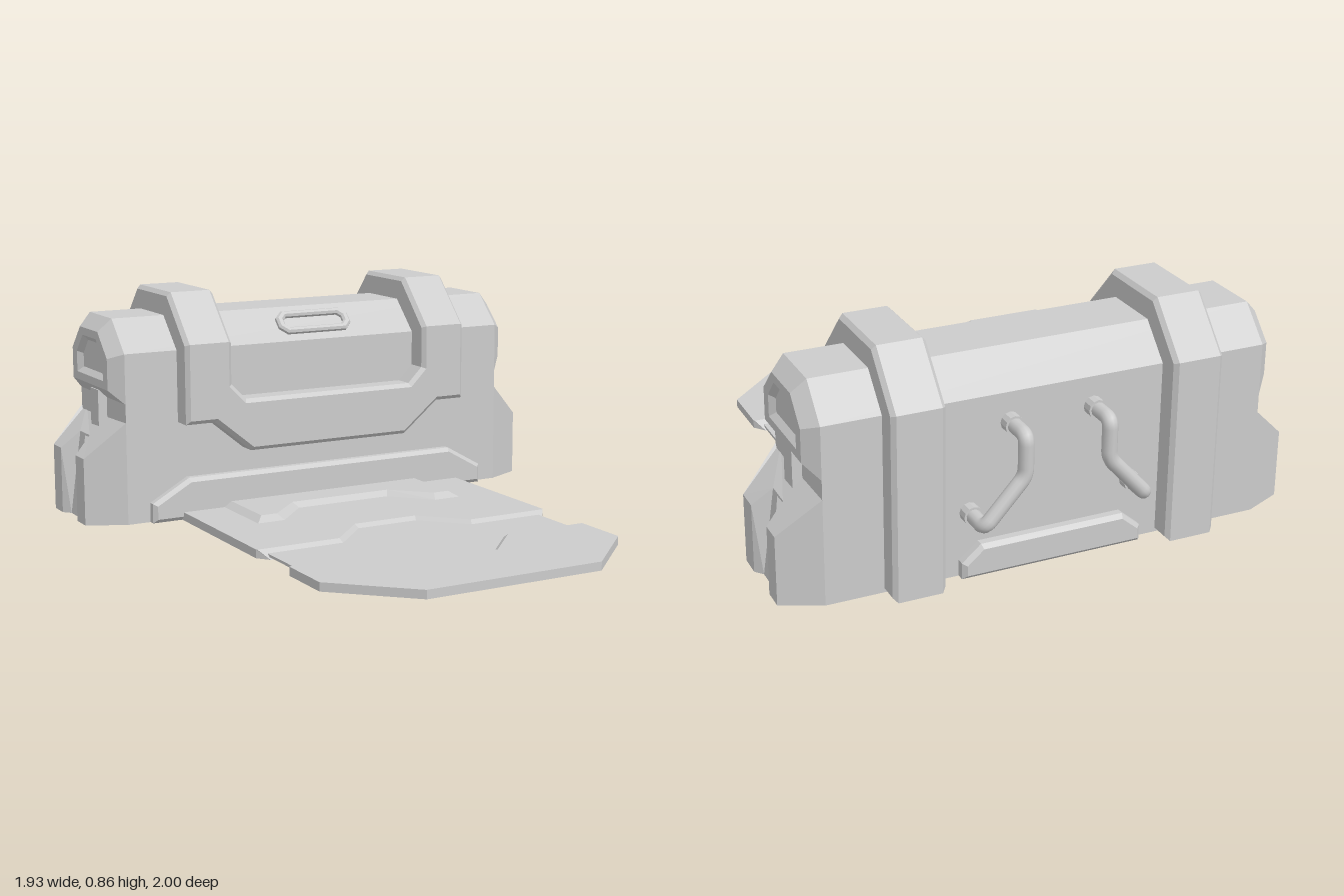
import * as THREE from 'three';

const grey = new THREE.MeshStandardMaterial({ color: 0xcccccc, flatShading: true });
const smooth = new THREE.MeshStandardMaterial({ color: 0xcccccc });
const sheet = new THREE.MeshStandardMaterial({ color: 0xcccccc, flatShading: true, side: THREE.DoubleSide });

const toPoints = (pts) => pts.map(([a, b]) => new THREE.Vector2(a, b));
const toShape = (pts) => new THREE.Shape(toPoints(pts));
// Completes a half outline given on the +x side
const mirrored = (pts) => [...pts, ...pts.map(([x, y]) => [-x, y]).reverse()];

// Extrudes an outline from a to b, with chamfers that stay inside the outline
function chamfered(shape, a, b, bevel, thickness = bevel) {
  return new THREE.ExtrudeGeometry(shape, {
    depth: b - a - 2 * thickness, bevelEnabled: bevel > 0, bevelSegments: 1,
    bevelSize: bevel, bevelThickness: thickness, bevelOffset: -bevel,
  }).translate(0, 0, a + thickness);
}

// Open-bottomed shell with sloped sides; outlines are [x, z] lists of equal length
function tray(bottom, top, y0, y1, hole) {
  const g = new THREE.Group();
  const shape = toShape(top.map(([x, z]) => [x, -z]));
  if (hole) shape.holes.push(new THREE.Path(toPoints(hole.map(([x, z]) => [x, -z]))));
  g.add(new THREE.Mesh(new THREE.ShapeGeometry(shape).rotateX(-Math.PI / 2).translate(0, y1, 0), sheet));
  const pos = [];
  bottom.forEach((b, i) => {
    const j = (i + 1) % bottom.length;
    const A = [b[0], y0, b[1]], B = [bottom[j][0], y0, bottom[j][1]];
    const C = [top[j][0], y1, top[j][1]], D = [top[i][0], y1, top[i][1]];
    pos.push(...A, ...B, ...C, ...A, ...C, ...D);
  });
  const walls = new THREE.BufferGeometry();
  walls.setAttribute('position', new THREE.Float32BufferAttribute(pos, 3));
  walls.computeVertexNormals();
  g.add(new THREE.Mesh(walls, sheet));
  return g;
}

// Path of straight runs joined by rounded corners
function roundedPath(points, r) {
  const path = new THREE.CurvePath();
  let from = points[0];
  for (let i = 1; i < points.length - 1; i++) {
    const p = points[i];
    const before = p.clone().add(points[i - 1].clone().sub(p).setLength(r));
    const after = p.clone().add(points[i + 1].clone().sub(p).setLength(r));
    path.add(new THREE.LineCurve3(from, before));
    path.add(new THREE.QuadraticBezierCurve3(before, p, after));
    from = after;
  }
  path.add(new THREE.LineCurve3(from, points[points.length - 1]));
  return path;
}

export function createModel() {
  const model = new THREE.Group();
  model.name = 'barrierCrate';
  const add = (name, obj, material = grey) => {
    const o = obj.isBufferGeometry ? new THREE.Mesh(obj, material) : obj;
    o.name = name;
    model.add(o);
    return o;
  };
  const box = (x0, x1, y0, y1, z0, z1) => new THREE.BoxGeometry(x1 - x0, y1 - y0, z1 - z0)
    .translate((x0 + x1) / 2, (y0 + y1) / 2, (z0 + z1) / 2);

  // Main body: lower block and chamfered upper pod with a funnel recess in each end
  add('lowerBody', box(-0.82, 0.82, 0, 0.52, -0.85, -0.39));
  const pod = toShape([[0.39, 0.46], [0.85, 0.46], [0.85, 0.65], [0.735, 0.77], [0.51, 0.77], [0.39, 0.65]]);
  pod.holes.push(new THREE.Path(toPoints([[0.535, 0.59], [0.705, 0.59], [0.705, 0.6],
    [0.668, 0.64], [0.572, 0.64], [0.535, 0.6]])));
  add('upperBody', chamfered(pod, -0.87, 0.87, 0.05).rotateY(Math.PI / 2));
  add('recessFloor', box(-0.85, 0.85, 0.55, 0.68, -0.74, -0.5));

  for (const s of [1, -1]) {
    // Sloped end foot with a tapering notch
    const plan = [[0.8, 0.39], [0.82, 0.39], [0.965, 0.46], [0.965, 0.545], [0.94, 0.575], [0.94, 0.675],
      [0.965, 0.705], [0.965, 0.785], [0.82, 0.85], [0.8, 0.85]].map(([x, u]) => [s * x, u]);
    const foot = new THREE.ExtrudeGeometry(toShape(plan), { depth: 1, bevelEnabled: false }).rotateX(-Math.PI / 2);
    const p = foot.attributes.position;
    for (let i = 0; i < p.count; i++) {
      if (p.getY(i) < 0.5) continue;
      if (Math.abs(Math.abs(p.getX(i)) - 0.94) < 0.005) p.setX(i, s * 0.895);
      p.setY(i, Math.min(0.39, 0.39 - (Math.abs(p.getX(i)) - 0.82) * 0.93));
    }
    foot.computeVertexNormals();
    add('endFoot', foot);
    add('endPost', box(s * 0.83 - 0.025, s * 0.83 + 0.025, 0.34, 0.49, -0.66, -0.58));

    // Strap wrapping over the body and down the back
    const strap = toShape([[0.3, 0.45], [0.3, 0.68], [0.47, 0.86], [0.77, 0.86], [0.935, 0.68],
      [0.935, 0], [0.8, 0], [0.8, 0.6], [0.45, 0.6], [0.45, 0.45]]);
    add('strap', chamfered(strap, s * 0.515 - 0.095, s * 0.515 + 0.095, 0.015).rotateY(Math.PI / 2));

    // Bent grab handle on the back, with a collar at each end
    const handle = new THREE.Group();
    const v = (x, y, z) => new THREE.Vector3(s * x, y, z);
    const path = roundedPath([v(0.155, 0.543, -0.84), v(0.155, 0.543, -0.973), v(0.155, 0.4, -0.973),
      v(0.303, 0.237, -0.973), v(0.303, 0.237, -0.84)], 0.03);
    handle.add(new THREE.Mesh(new THREE.TubeGeometry(path, 80, 0.027, 12), smooth));
    for (const [x, y] of [[0.155, 0.543], [0.303, 0.237]]) {
      const collar = new THREE.CylinderGeometry(0.035, 0.035, 0.05, 12).rotateX(Math.PI / 2);
      handle.add(new THREE.Mesh(collar.translate(s * x, y, -0.865), grey));
    }
    add('handle', handle);
  }

  // Front panel joining the straps
  const panel = toShape(mirrored([[0.36, 0.455], [0.42, 0.515], [0.42, 0.66], [0.61, 0.66],
    [0.61, 0.375], [0.49, 0.375], [0.34, 0.252]]));
  add('frontPanel', chamfered(panel, -0.42, -0.3, 0.015));

  // Base plates at front and back
  const skirt = toShape(mirrored([[0.73, 0], [0.73, 0.075], [0.58, 0.16]]));
  add('frontSkirt', chamfered(skirt, -0.42, -0.35, 0.015));
  const kick = toShape(mirrored([[0.34, 0], [0.34, 0.06], [0.27, 0.12]]));
  add('backPlate', chamfered(kick, -0.892, -0.82, 0.015));

  // Raised slot frame on the front chamfer
  const octagon = (w, h, c) => mirrored([[w, -h + c], [w, h - c], [w - c, h]])
    .concat([[-w + c, -h], [w - c, -h]]);
  const slot = toShape(octagon(0.158, 0.053, 0.03));
  slot.holes.push(new THREE.Path(toPoints(octagon(0.128, 0.026, 0.015))));
  add('slotFrame', chamfered(slot, -0.02, 0.018, 0.008).rotateX(-Math.PI / 4).translate(0, 0.711, -0.45));

  // Folded-out ramp: rear plate, sunken middle band, front plate and raised step
  const stepFoot = mirrored([[0.44, -0.36], [0.44, -0.055], [0.33, -0.055], [0.195, -0.2]]);
  const stepTop = mirrored([[0.41, -0.36], [0.41, -0.09], [0.345, -0.09], [0.21, -0.225]]);
  add('rampRear', tray(
    mirrored([[0.61, -0.37], [0.61, 0.275], [0.575, 0.32], [0.265, 0.32], [0.115, 0.165]]),
    mirrored([[0.61, -0.37], [0.61, 0.275], [0.607, 0.28], [0.28, 0.28], [0.13, 0.125]]), 0, 0.032, stepFoot));
  add('rampStep', tray(stepFoot, stepTop, 0.032, 0.052));
  const middle = mirrored([[0.13, 0.14], [0.28, 0.295], [0.575, 0.295], [0.575, 0.52], [0.28, 0.52], [0.13, 0.68]]);
  add('rampMiddle', tray(middle, middle, 0.008, 0.018));
  add('rampFront', tray(
    mirrored([[0.115, 0.65], [0.265, 0.49], [0.575, 0.49], [0.61, 0.535], [0.61, 0.75], [0.35, 1]]),
    mirrored([[0.13, 0.69], [0.28, 0.53], [0.607, 0.53], [0.61, 0.535], [0.61, 0.75], [0.35, 1]]), 0, 0.032));

  return model;
}
